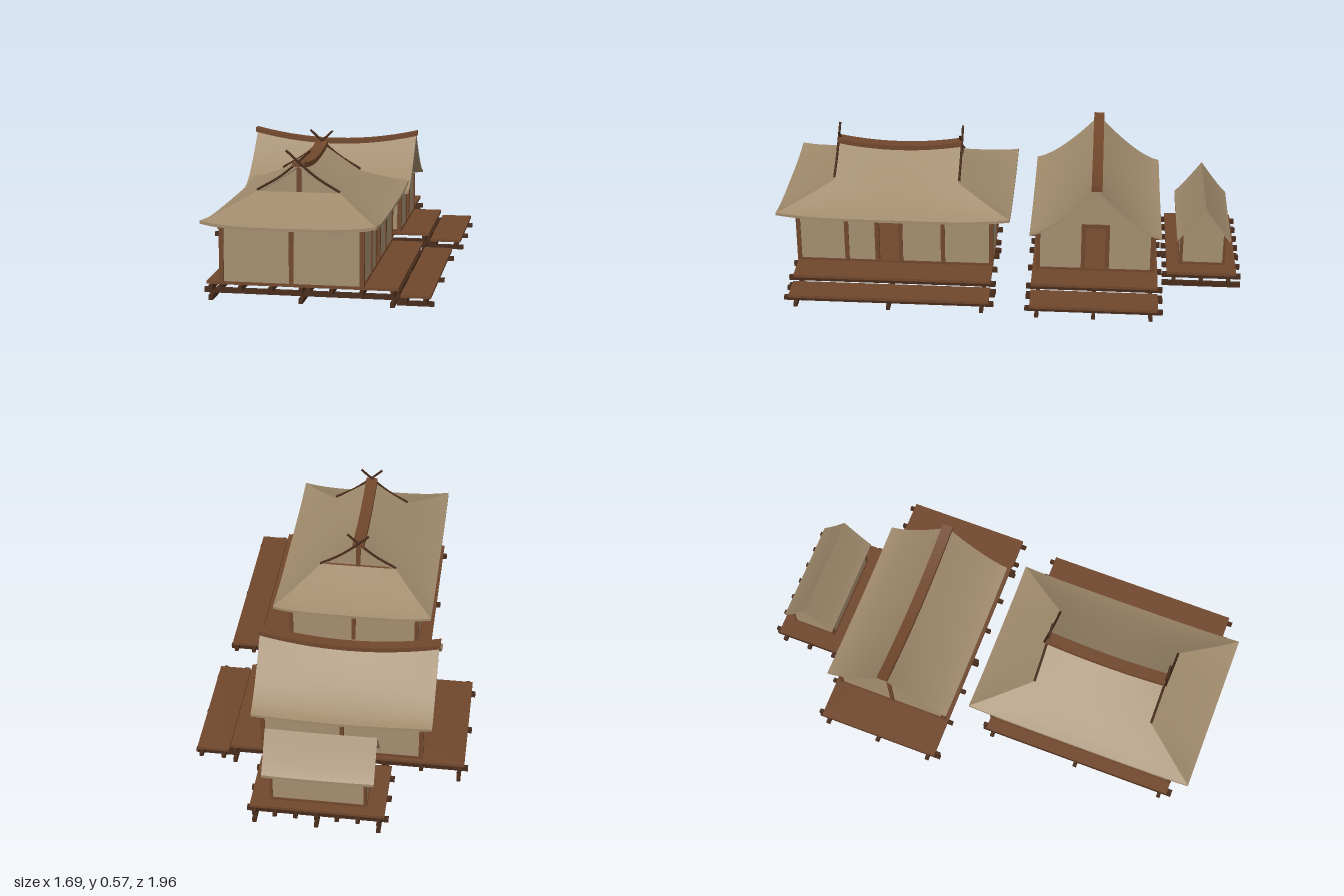
import * as THREE from 'three';

const mat = (name, color, side = THREE.FrontSide) => {
  const m = new THREE.MeshStandardMaterial({ color, side });
  m.name = name;
  return m;
};

export function createModel() {
  const M = {
    thatch: mat('thatch', 0xa08a6c, THREE.DoubleSide),
    wall: mat('wall plaster', 0xa38d70, THREE.DoubleSide),
    wood: mat('brown wood', 0x70472c),
    beam: mat('dark beam wood', 0x472b1a),
  };
  const FLOOR = 0.072;

  // Shared builders
  const add = (parent, name, geo, material) => {
    const mesh = new THREE.Mesh(geo, material);
    mesh.name = name;
    parent.add(mesh);
    return mesh;
  };
  const block = (parent, name, x0, x1, y0, y1, z0, z1, material) => {
    const mesh = add(parent, name, new THREE.BoxGeometry(x1 - x0, y1 - y0, z1 - z0), material);
    mesh.position.set((x0 + x1) / 2, (y0 + y1) / 2, (z0 + z1) / 2);
    return mesh;
  };
  const house = (name, x, z) => {
    const g = new THREE.Group();
    g.name = name;
    g.position.set(x, 0, z);
    return g;
  };

  // Curved surface: f(u in -1..1, v in 0..1) gives a point
  const sheet = (f, nu, nv) => {
    const pos = [], idx = [];
    for (let j = 0; j <= nv; j++)
      for (let i = 0; i <= nu; i++) pos.push(...f(-1 + (2 * i) / nu, j / nv));
    for (let j = 0; j < nv; j++)
      for (let i = 0; i < nu; i++) {
        const a = j * (nu + 1) + i, b = a + nu + 1;
        idx.push(a, b, a + 1, a + 1, b, b + 1);
      }
    const g = new THREE.BufferGeometry();
    g.setAttribute('position', new THREE.Float32BufferAttribute(pos, 3));
    g.setIndex(idx);
    g.computeVertexNormals();
    return g;
  };
  // Roof slope with underside and closed edges
  const slope = (parent, name, f, thick = 0.012) => {
    const drop = ([x, y, z], d) => [x, y - d * thick, z];
    add(parent, name, sheet(f, 16, 14), M.thatch);
    add(parent, name + 'Underside', sheet((u, v) => drop(f(u, v), 1), 16, 14), M.thatch);
    add(parent, name + 'Eave', sheet((u, v) => drop(f(u, 1), v), 16, 1), M.thatch);
    for (const s of [-1, 1])
      add(parent, name + 'Edge', sheet((u, v) => drop(f(s, (u + 1) / 2), v), 14, 1), M.thatch);
  };
  // Sagging cap along a ridge running on z
  const ridgeCap = (parent, width, length, yAt) => {
    const geo = new THREE.BoxGeometry(width, 0.02, length, 1, 1, 14);
    const p = geo.attributes.position;
    for (let i = 0; i < p.count; i++) p.setY(i, p.getY(i) + yAt(p.getZ(i) / (length / 2)));
    geo.computeVertexNormals();
    return add(parent, 'ridgeCap', geo, M.wood);
  };

  // Wall panel; top is a list of [x, y] from right to left, door is [x0, x1, height]
  const panel = (parent, name, half, top, door, x, z, rot) => {
    const pts = [[-half, FLOOR]];
    if (door) pts.push([door[0], FLOOR], [door[0], door[2]], [door[1], door[2]], [door[1], FLOOR]);
    pts.push([half, FLOOR], ...top);
    const shape = new THREE.Shape(pts.map((p) => new THREE.Vector2(...p)));
    const geo = new THREE.ExtrudeGeometry(shape, { depth: 0.008, bevelEnabled: false });
    const mesh = add(parent, name, geo.translate(0, 0, -0.004), M.wall);
    mesh.position.set(x, 0, z);
    mesh.rotation.y = rot;
  };
  const post = (parent, x, z, top, w = 0.009) =>
    block(parent, 'post', x - w, x + w, FLOOR, top, z - w, z + w, M.wood);
  const sills = (parent, hx, hz) => {
    for (const s of [-1, 1]) {
      block(parent, 'sill', -hx, hx, FLOOR, FLOOR + 0.01, s * hz - 0.008, s * hz + 0.008, M.wood);
      block(parent, 'sill', s * hx - 0.008, s * hx + 0.008, FLOOR, FLOOR + 0.01, -hz, hz, M.wood);
    }
  };
  const doorFrame = (parent, x0, x1, top, z) => {
    for (const x of [x0, x1]) post(parent, x, z, top);
    block(parent, 'lintel', x0 - 0.009, x1 + 0.009, top - 0.012, top + 0.006, z - 0.009, z + 0.009, M.wood);
  };

  // Crossed beam layers below a plank floor
  const beamsX = (parent, n, x0, x1, z0, z1, y, h) => {
    for (let i = 0; i < n; i++) {
      const z = z0 + 0.02 + ((z1 - z0 - 0.04) * i) / (n - 1);
      block(parent, 'crossBeam', x0 - 0.02, x1 + 0.02, y, y + h, z - 0.008, z + 0.008, M.beam);
    }
  };
  const beamsZ = (parent, n, x0, x1, z0, z1, y, h) => {
    for (let i = 0; i < n; i++) {
      const x = x0 + 0.03 + ((x1 - x0 - 0.06) * i) / (n - 1);
      block(parent, 'longBeam', x - 0.008, x + 0.008, y, y + h, z0 - 0.015, z1 + 0.015, M.beam);
    }
  };
  const deck = (parent, x0, x1, z0, z1) => {
    beamsX(parent, 3, x0, x1, z0, z1, 0, 0.02);
    beamsZ(parent, 3, x0, x1, z0, z1, 0.02, 0.02);
    beamsX(parent, 7, x0, x1, z0, z1, 0.04, 0.02);
    block(parent, 'deckFloor', x0, x1, 0.06, FLOOR, z0, z1, M.wood);
  };
  const step = (parent, x0, x1, z0, z1) => {
    beamsZ(parent, 3, x0, x1, z0, z1 - 0.005, 0, 0.018);
    beamsX(parent, 2, x0, x1, z0, z1, 0.018, 0.018);
    block(parent, 'stepFloor', x0, x1, 0.036, 0.048, z0, z1, M.wood);
  };

  // ---- Large hall with a hipped and gabled roof, ridge along x ----
  const hall = house('largeHall', -0.433, -0.027);
  {
    const hx = 0.408, hz = 0.275, top = 0.325, K = 0.485, door = [-0.075, 0.025, 0.285];
    deck(hall, -0.415, 0.415, -0.335, 0.415);
    step(hall, -0.415, 0.415, 0.423, 0.54);
    const flat = (h) => [[h, top], [-h, top]];
    panel(hall, 'frontWall', hx, flat(hx), door, 0, hz, 0);
    panel(hall, 'backWall', hx, flat(hx), null, 0, -hz, 0);
    for (const s of [-1, 1]) {
      panel(hall, 'endWall', hz, flat(hz), null, s * hx, 0, Math.PI / 2);
      for (const t of [-1, 0, 1]) post(hall, s * hx, t * hz, top);
      post(hall, s * hx * 0.5, hz, top);
    }
    post(hall, 0, -hz, top);
    doorFrame(hall, door[0], door[1], door[2], hz);
    sills(hall, hx, -hz);

    const span = (t) => (t < K ? 0.26 : 0.26 + (0.229 * (t - K)) / (1 - K));
    const height = (u, t) => 0.305 + (0.185 + 0.025 * u * u) * (1 - t) ** 1.15;
    const lift = (e, t) => (t < K ? 0 : (0.02 * e ** 4 * (t - K)) / (1 - K));
    const row = (v) => (v < 0.5 ? K * v * 2 : K + (1 - K) * (v - 0.5) * 2);
    for (const s of [-1, 1]) {
      slope(hall, 'longSlope', (u, v) => {
        const t = row(v);
        return [u * span(t), height(u, t) + lift(u, t), s * 0.34 * t];
      });
      slope(hall, 'hipSlope', (e, v) => {
        const t = K + (1 - K) * v;
        return [s * span(t), height(1, t) + lift(e, t), e * 0.34 * t];
      });
      // Gable infill, king post and crossed barge poles
      const pts = [];
      for (let i = -8; i <= 8; i++) {
        const t = (K * i) / 8;
        pts.push(new THREE.Vector2(t * 0.34, height(1, Math.abs(t)) - 0.006));
      }
      const gable = add(hall, 'gableInfill', new THREE.ShapeGeometry(new THREE.Shape(pts)), M.wall);
      gable.rotation.y = Math.PI / 2;
      gable.position.x = s * 0.24;
      block(hall, 'kingPost', s * 0.247 - 0.008, s * 0.247 + 0.008, 0.395, 0.51, -0.009, 0.009, M.wood);
      for (const d of [-1, 1]) {
        const path = new THREE.CatmullRomCurve3(
          [[0.165, 0.408], [0.075, 0.462], [0, 0.524], [-0.048, 0.568]]
            .map(([z, y]) => new THREE.Vector3(s * (0.262 + d * 0.003), y, d * z)));
        add(hall, 'bargePole', new THREE.TubeGeometry(path, 12, 0.005, 6), M.beam);
      }
    }
    ridgeCap(hall, 0.05, 0.53, (u) => 0.488 + 0.025 * u * u).rotation.y = Math.PI / 2;
  }

  // ---- Gabled houses, ridge along z ----
  const gabled = (g, o) => {
    const yAt = (u, t) => {
      const eave = o.eave + o.eaveSag * u * u;
      return eave + (o.ridge + o.ridgeSag * u * u - eave) * (1 - t) ** o.power;
    };
    for (const s of [-1, 1])
      slope(g, 'roofSlope', (u, v) => [s * o.rx * v, yAt(u, v), u * o.rz]);
    const side = yAt(0, o.hx / o.rx) - 0.006;
    for (const s of [-1, 1]) {
      const top = [];
      for (let i = 8; i >= -8; i--)
        top.push([(o.hx * i) / 8, yAt(o.hz / o.rz, (o.hx * Math.abs(i)) / 8 / o.rx) - 0.006]);
      panel(g, s > 0 ? 'frontWall' : 'backWall', o.hx, top, s > 0 ? o.door : null, 0, s * o.hz, 0);
      panel(g, 'sideWall', o.hz, [[o.hz, side], [-o.hz, side]], null, s * o.hx, 0, Math.PI / 2);
      for (const t of o.posts) post(g, s * o.hx, t * o.hz, side - 0.002, o.postSize);
    }
    sills(g, o.hx, o.hz);
    return yAt;
  };

  const mid = house('middleHouse', 0.413, -0.062);
  {
    const door = [-0.05, 0.05, 0.285];
    deck(mid, -0.263, 0.263, -0.5, 0.455);
    step(mid, -0.263, 0.263, 0.463, 0.595);
    const yAt = gabled(mid, {
      rx: 0.274, rz: 0.365, hx: 0.24, hz: 0.322, ridge: 0.43, ridgeSag: 0.045,
      eave: 0.245, eaveSag: 0.015, power: 1.45, door, posts: [-1, 0, 1], postSize: 0.009,
    });
    doorFrame(mid, door[0], door[1], door[2], 0.322);
    post(mid, 0, -0.322, yAt(0.88, 0) - 0.012);
    ridgeCap(mid, 0.045, 0.74, (u) => yAt(u, 0) + 0.001);
  }

  const hut = house('smallHouse', 0.867, -0.008);
  deck(hut, -0.15, 0.14, -0.265, 0.265);
  gabled(hut, {
    rx: 0.112, rz: 0.22, hx: 0.09, hz: 0.185, ridge: 0.35, ridgeSag: 0.003,
    eave: 0.205, eaveSag: 0.004, power: 1.12, door: null, posts: [-1, 1], postSize: 0.006,
  });

  const model = new THREE.Group();
  model.name = 'houseCluster';
  model.add(hall, mid, hut);
  model.rotation.y = 0.911;
  const root = new THREE.Group();
  root.name = 'settlement';
  root.add(model);
  return root;
}
